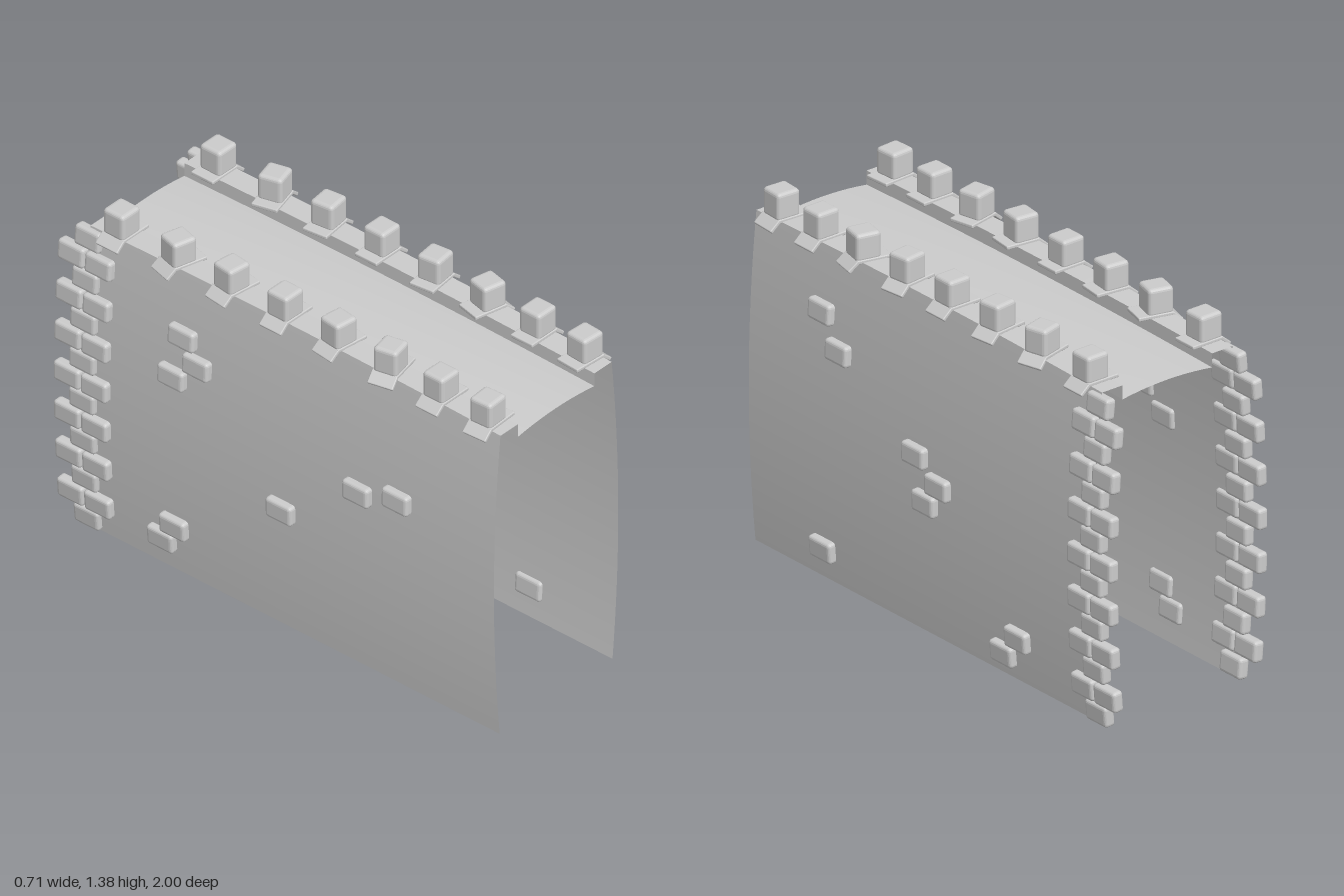
import * as THREE from 'three';
import { RoundedBoxGeometry } from 'three/addons/geometries/RoundedBoxGeometry.js';
import { ParametricGeometry } from 'three/addons/geometries/ParametricGeometry.js';

const stone = new THREE.MeshStandardMaterial({ color: 0xcccccc, flatShading: true });
const sheetMat = new THREE.MeshStandardMaterial({ color: 0xcccccc, side: THREE.DoubleSide });

const FRONT = 1, BACK = -0.88, TOP = 1.262, INNER = 0.2;

// Gentle rise of the walkway along its length
const arch = (z) => 0.015 * (1 - z * z);
// Half-width of the bulging wall at height y, and its slope
const wallX = (y) => { const t = y / 1.27; return 0.295 - 0.005 * t + 0.13 * t * (1 - t); };
const wallSlope = (y) => (wallX(y + 0.01) - wallX(y - 0.01)) / 0.02;

// Open surface running from the front to the back; point(u, z) gives [x, y]
function sheet(name, nu, point) {
  const geo = new ParametricGeometry((u, v, target) => {
    const z = FRONT + (BACK - FRONT) * v;
    const [x, y] = point(u, z);
    target.set(x, y, z);
  }, nu, 16);
  const mesh = new THREE.Mesh(geo, sheetMat);
  mesh.name = name;
  return mesh;
}

function block(name, w, h, d, r) {
  const mesh = new THREE.Mesh(new RoundedBoxGeometry(w, h, d, 2, r), stone);
  mesh.name = name;
  return mesh;
}

// Brick set into the wall, leaning with its curve
function wallBrick(name, side, y, z, d = 0.118, out = 0.007) {
  const brick = block(name, 0.044, 0.08, d, 0.013);
  brick.position.set(side * (wallX(y) + out), y, z);
  brick.rotation.z = -side * Math.atan(wallSlope(y));
  return brick;
}

// Merlon with a thin capstone that folds over the outer edge
function merlon(side, z, turn) {
  const g = new THREE.Group();
  g.name = 'merlon';
  const cube = block('merlonBlock', 0.096, 0.106, 0.094, 0.014);
  cube.position.y = 0.053;
  const cap = block('capstone', 0.135, 0.014, 0.1, 0.004);
  cap.position.set(-side * 0.02, 0.003, 0);
  const flap = block('capstoneLip', 0.05, 0.014, 0.1, 0.004);
  flap.position.set(side * 0.06, -0.012, 0);
  flap.rotation.z = -side * 0.7;
  g.add(cube, cap, flap);
  g.position.set(side * 0.253, TOP + arch(z), z);
  g.rotation.y = side * turn;
  return g;
}

// Scattered bricks as [z, y] on each wall
const leftBricks = [[0.61, 1.03], [0.51, 0.91], [0.085, 0.68], [-0.04, 0.6],
  [0.03, 0.515], [-0.455, 0.17], [-0.37, 0.085], [0.61, 0.118]];
const rightBricks = [[-0.43, 1.02], [-0.36, 0.93], [-0.47, 0.84], [0.03, 0.51],
  [0.38, 0.75], [0.56, 0.8], [-0.47, 0.2], [-0.53, 0.12]];
// Merlons as [z, turn]
const merlons = [[0.91, -0.06], [0.695, 0], [0.465, -0.22], [0.225, 0.12],
  [-0.02, 0], [-0.265, 0.12], [-0.51, 0.26], [-0.77, 0]];

export function createModel() {
  const model = new THREE.Group();
  model.name = 'castleWall';

  // Walkway
  model.add(sheet('walkway', 10, (u, z) => {
    const s = 2 * u - 1;
    return [s * INNER, 1.208 + 0.015 * (1 - s * s) + arch(z)];
  }));

  for (const side of [1, -1]) {
    const half = new THREE.Group();
    half.name = side > 0 ? 'leftWall' : 'rightWall';

    // Curved wall, parapet top and parapet inner face
    half.add(sheet('wallFace', 16, (u, z) => {
      const y = u * (TOP + arch(z));
      return [side * wallX(y), y];
    }));
    half.add(sheet('parapetTop', 1, (u, z) =>
      [side * (INNER + u * (wallX(TOP + arch(z)) - INNER)), TOP + arch(z)]));
    half.add(sheet('parapetInnerFace', 1, (u, z) =>
      [side * INNER, 1.208 + arch(z) + u * (TOP - 1.208)]));

    // Corner quoins: single bricks alternating with pairs
    for (let i = 0; i < 15; i++) {
      const y = 0.045 + i * 0.0838;
      if (i % 2 === 0) half.add(wallBrick('cornerBrick', side, y, -0.878, 0.115, 0));
      else for (const z of [-0.817, -0.941]) half.add(wallBrick('cornerBrick', side, y, z));
    }

    for (const [z, y] of side > 0 ? leftBricks : rightBricks)
      half.add(wallBrick('wallBrick', side, y, z));
    for (const [z, turn] of merlons) half.add(merlon(side, z, turn));
    model.add(half);
  }
  return model;
}
